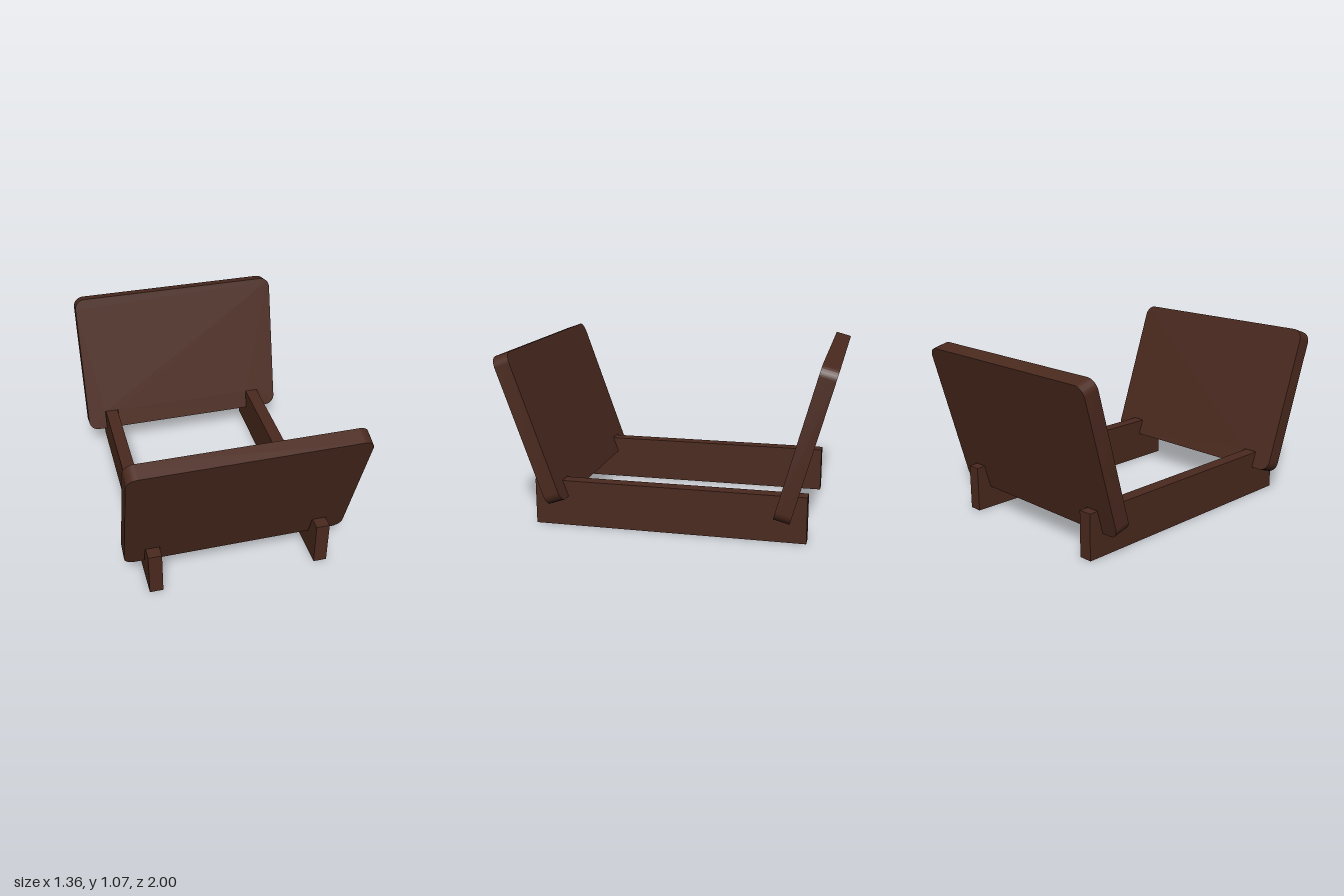
import * as THREE from 'three';
import { toCreasedNormals } from 'three/addons/utils/BufferGeometryUtils.js';

const RAIL_X = 0.515, RAIL_W = 0.082, RAIL_H = 0.281;
const GAP = 0.004; // clearance between a rail and its slot

// Gives every triangle that faces down the second material, all others the first
function splitUnderside(g) {
  const p = g.attributes.position;
  const tri = new THREE.Triangle(), n = new THREE.Vector3();
  g.clearGroups();
  for (let i = 0; i < p.count; i += 3) {
    tri.setFromAttributeAndIndices(p, i, i + 1, i + 2).getNormal(n);
    const material = n.y < -0.8 ? 1 : 0;
    const last = g.groups[g.groups.length - 1];
    if (last && last.materialIndex === material) last.count += 3;
    else g.addGroup(i, 3, material);
  }
  return g;
}

// Rounded board with two slots in its lower edge; the slot tops are level once it is tilted
function boardGeometry(width, height, thickness, baseY, tilt) {
  const w = width / 2, r = 0.065, slot = RAIL_W / 2 + GAP;
  const slotTop = (RAIL_H + GAP - baseY) / Math.cos(tilt);
  const s = new THREE.Shape();
  s.moveTo(-w + r, 0);
  for (const x of [-RAIL_X, RAIL_X]) {
    s.lineTo(x - slot, 0);
    s.lineTo(x - slot, slotTop);
    s.lineTo(x + slot, slotTop);
    s.lineTo(x + slot, 0);
  }
  s.lineTo(w - r, 0);
  s.absarc(w - r, r, r, -Math.PI / 2, 0, false);
  s.lineTo(w, height - r);
  s.absarc(w - r, height - r, r, 0, Math.PI / 2, false);
  s.lineTo(-w + r, height);
  s.absarc(-w + r, height - r, r, Math.PI / 2, Math.PI, false);
  s.lineTo(-w, r);
  s.absarc(-w + r, r, r, Math.PI, Math.PI * 1.5, false);

  const g = new THREE.ExtrudeGeometry(s, { depth: thickness, bevelEnabled: false, curveSegments: 10 });
  g.translate(0, 0, -thickness / 2);
  const p = g.attributes.position;
  for (let i = 0; i < p.count; i++) {
    const onSlotTop = Math.abs(p.getY(i) - slotTop) < 1e-4 && Math.abs(p.getX(i)) < RAIL_X + slot + 0.01;
    if (onSlotTop) p.setY(i, slotTop + p.getZ(i) * Math.tan(tilt));
  }
  return splitUnderside(toCreasedNormals(g, Math.PI / 6));
}

export function createModel() {
  const model = new THREE.Group();
  model.name = 'bookStand';
  const wood = new THREE.MeshStandardMaterial({ color: 0x4a291e });
  wood.name = 'darkWood';
  const black = new THREE.MeshStandardMaterial({ color: 0x050505 });
  black.name = 'blackUnderside';

  // Two rails lying front to back, black underneath
  for (const side of [-1, 1]) {
    const rail = new THREE.Mesh(
      new THREE.BoxGeometry(RAIL_W, RAIL_H, 1.65),
      [wood, wood, wood, black, wood, wood],
    );
    rail.name = side > 0 ? 'leftRail' : 'rightRail';
    rail.position.set(side * RAIL_X, RAIL_H / 2, -0.017);
    model.add(rail);
  }

  // Two boards leaning outward, slotted over the rails
  const boards = [
    { name: 'frontBoard', y: 0.17, z: 0.643, tilt: 0.34 },
    { name: 'backBoard', y: 0.152, z: -0.703, tilt: -0.267 },
  ];
  for (const b of boards) {
    const board = new THREE.Mesh(boardGeometry(1.364, 0.938, 0.098, b.y, b.tilt), [wood, black]);
    board.name = b.name;
    board.position.set(0, b.y, b.z);
    board.rotation.x = b.tilt;
    model.add(board);
  }
  return model;
}
